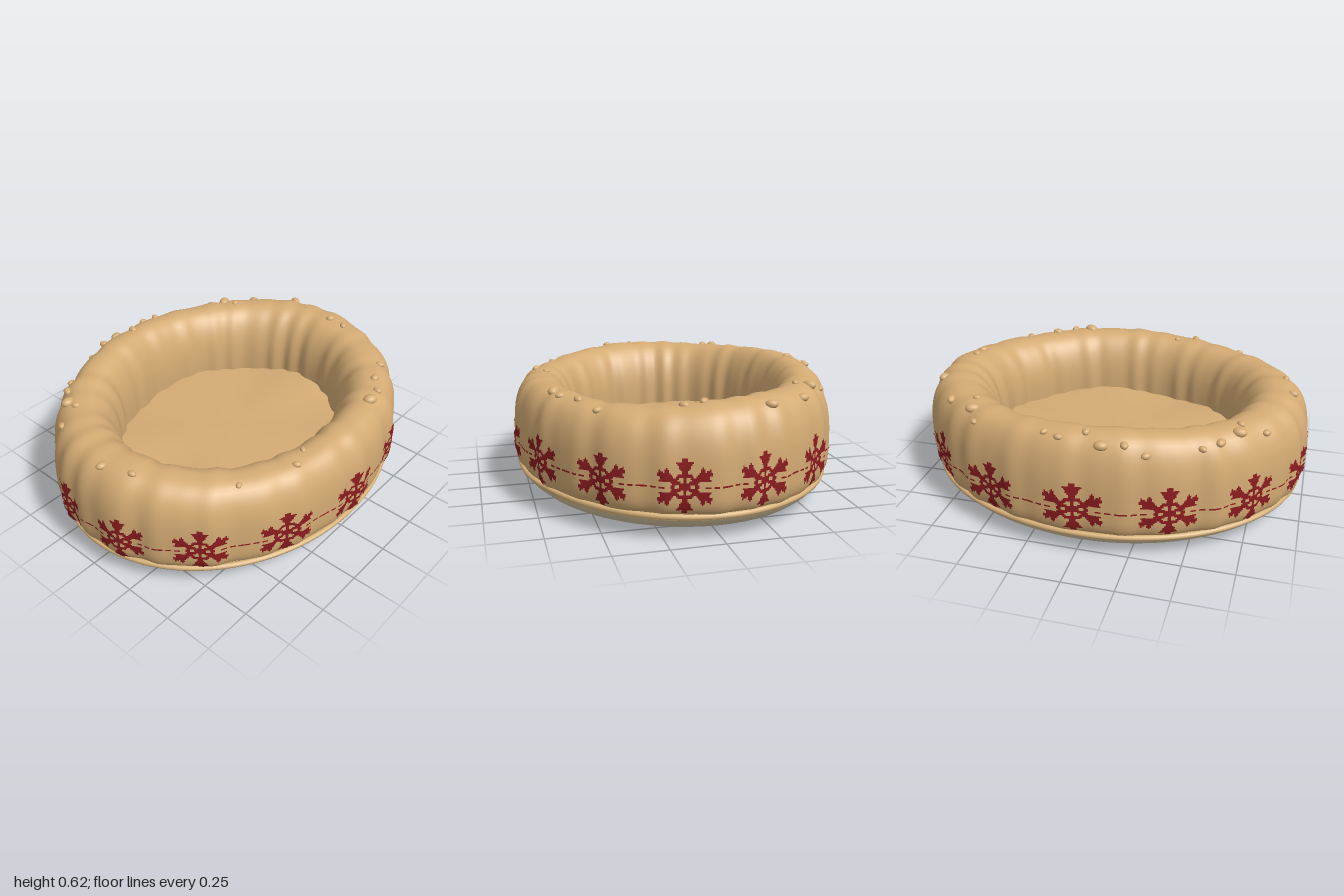
import * as THREE from 'three';
import { mergeVertices } from 'three/addons/utils/BufferGeometryUtils.js';

const MID_X = 0.815, MID_Z = 0.66; // centre line of the padded wall
const HALF = 0.217;                // wall half width, relative to the centre line
const WAIST = 0.29;                // height of the widest point
const STARS = 14;

const material = (name, color) => new THREE.MeshStandardMaterial({ name, color });

// soft gathers around the wall
const ripple = t => 0.5 * Math.sin(27 * t + 1.5 * Math.sin(3 * t)) + 0.3 * Math.sin(13 * t + 1)
  + 0.2 * Math.sin(41 * t + 2 * Math.sin(2 * t));

// point on the wall: t around, s across (-1 inside, 1 outside), y before the rim's waviness
function wallPoint(t, s, y) {
  const r = 1 + HALF * s * (1 + 0.07 * ripple(t));
  const lift = 1 - 0.08 * Math.cos(t) + 0.03 * Math.sin(4 * t + 1) + 0.015 * ripple(t);
  const h = y > WAIST ? WAIST + (y - WAIST) * lift : y;
  return new THREE.Vector3(MID_X * r * Math.sin(t), h, MID_Z * r * Math.cos(t));
}

// exponents and half heights of the rounded wall section
const power = (s, d) => (d < 0 ? 4 : s > 0 ? 2.5 : 2.2);
const reach = d => (d < 0 ? 0.19 : 0.29);

// smooth surface from a grid of points; keep(i, j) can leave cells out
function gridGeometry(nu, nv, point, keep = () => true) {
  const positions = [], index = [];
  for (let j = 0; j <= nv; j++)
    for (let i = 0; i <= nu; i++) positions.push(...point(i / nu, j / nv).toArray());
  for (let j = 0; j < nv; j++)
    for (let i = 0; i < nu; i++) {
      if (!keep(i, j)) continue;
      const a = j * (nu + 1) + i, b = a + 1, c = b + nu + 1, d = a + nu + 1;
      index.push(a, b, c, a, c, d);
    }
  let g = new THREE.BufferGeometry();
  g.setAttribute('position', new THREE.Float32BufferAttribute(positions, 3));
  g.setIndex(index);
  g = mergeVertices(g, 1e-5);
  g.computeVertexNormals();
  return g;
}

// six-armed snowflake with broad tips and a pierced hub, u and v from -1 to 1
function inSnowflake(u, v) {
  const sector = Math.PI / 3;
  const angle = Math.atan2(u, v), r = Math.hypot(u, v);
  const local = angle - Math.round(angle / sector) * sector;
  const a = r * Math.cos(local), b = Math.abs(r * Math.sin(local));
  const arm = a < 1 && b < 0.11;
  const tip = a > 0.56 && a < 0.84 && b < 0.12 + (a - 0.56) * 0.6;
  const hub = a > 0.28 && a < 0.42;
  const hole = a > 0.13 && a < 0.29 && b > 0.06;
  return (arm || tip || hub) && !hole;
}

export function createModel() {
  const model = new THREE.Group();
  const tan = material('tan plush', 0xd4ab74);
  const piping = material('light piping', 0xd8b27a);
  const grey = material('pale underside', 0xd8c8a4);
  const red = material('dark red', 0x8c1c20);
  const add = (name, geometry, mat) => {
    const mesh = new THREE.Mesh(geometry, mat);
    mesh.name = name;
    model.add(mesh);
    return mesh;
  };

  // padded wall
  add('paddedWall', gridGeometry(252, 48, (u, v) => {
    const a = v * Math.PI * 2, c = Math.cos(a), d = Math.sin(a);
    const e = 2 / power(c, d);
    return wallPoint(u * Math.PI * 2, Math.sign(c) * Math.abs(c) ** e,
      WAIST + reach(d) * Math.sign(d) * Math.abs(d) ** e);
  }), tan);

  // snowflake band and the dashes that link it
  const perStar = 60, rows = 36, low = 0.122, high = 0.402;
  const cols = perStar * STARS, pitch = Math.PI * 2 / STARS;
  add('snowflakeBand', gridGeometry(cols, rows, (u, v) => {
    const y = low + v * (high - low), d = (y - WAIST) / reach(y - WAIST);
    const n = power(1, d);
    const s = (1 - Math.abs(d) ** n) ** (1 / n);
    return wallPoint((u - 0.5 / STARS) * Math.PI * 2, s + 0.025, y);
  }, (i, j) => {
    const u = ((i % perStar + 0.5) / perStar - 0.5) * pitch;
    const y = low + (j + 0.5) / rows * (high - low) - 0.262;
    const dash = Math.abs(y + 0.004) < 0.0039 && Math.abs(u) > 0.09
      && Math.floor(Math.abs(u) / 0.015) % 3 !== 0;
    return dash || inSnowflake(u / 0.16, y / 0.127);
  }), red);

  // sleeping cushion with faint radial folds
  const cushion = new THREE.CircleGeometry(1, 96).rotateX(-Math.PI / 2);
  const p = cushion.attributes.position;
  for (let i = 0; i < p.count; i++) {
    const x = p.getX(i), z = p.getZ(i), t = Math.atan2(x, z);
    const edge = Math.hypot(x, z);
    p.setXYZ(i, x * 0.7, 0.255 + edge * (0.014 * Math.sin(5 * t) - 0.01), z * 0.58);
  }
  cushion.computeVertexNormals();
  add('cushion', cushion, tan);

  // rounded underside, with a narrow plush strip above it
  const lathe = points => new THREE.LatheGeometry(points.map(([x, y]) => new THREE.Vector2(x, y)), 96);
  add('underside', lathe([[0, 0], [0.7, 0], [0.76, 0.004], [0.83, 0.018], [0.89, 0.042],
    [0.93, 0.07], [0.946, 0.092]]), grey).scale.z = 0.815;
  add('lowerStrip', lathe([[0.946, 0.092], [0.955, 0.12], [0.8, 0.125]]), tan).scale.z = 0.815;

  // piping along the seam
  const loop = [];
  for (let i = 0; i < 64; i++) {
    const t = i / 64 * Math.PI * 2;
    loop.push(new THREE.Vector3(0.961 * Math.sin(t), 0.117 + 0.003 * Math.sin(3 * t), 0.782 * Math.cos(t)));
  }
  add('seamPiping', new THREE.TubeGeometry(new THREE.CatmullRomCurve3(loop, true), 192, 0.014, 8, true), piping);

  // small nubs scattered on the rim: x, z, size
  const nubs = [
    [-0.69, -0.46, 0.035], [-0.62, -0.55, 0.028], [-0.55, -0.61, 0.022], [-0.32, -0.72, 0.025],
    [-0.22, -0.72, 0.025], [-0.12, -0.74, 0.034], [-0.04, -0.69, 0.025], [0.08, -0.73, 0.022],
    [0.15, -0.71, 0.022], [0.53, -0.62, 0.02], [0.57, -0.55, 0.036], [0.73, -0.45, 0.03],
    [0.58, -0.47, 0.02], [0.86, -0.24, 0.03], [0.81, 0.05, 0.025], [0.81, 0.14, 0.025],
    [0.66, 0.49, 0.025], [0.51, 0.55, 0.028], [0.42, 0.62, 0.024], [0.33, 0.64, 0.038],
    [-0.2, 0.62, 0.018], [-0.3, 0.66, 0.022], [-0.57, 0.55, 0.018], [-0.85, 0.17, 0.022],
    [-0.9, 0.02, 0.027], [-0.81, -0.37, 0.024], [-0.69, -0.4, 0.022]];
  const nubShape = new THREE.SphereGeometry(1, 16, 10);
  nubs.forEach(([x, z, size], i) => {
    const s = (Math.hypot(x / MID_X, z / MID_Z) - 1) / HALF;
    const n = power(s, 1);
    const y = WAIST + reach(1) * (1 - Math.min(0.95, Math.abs(s)) ** n) ** (1 / n);
    const nub = add('rimNub', nubShape, tan);
    nub.position.copy(wallPoint(Math.atan2(x / MID_X, z / MID_Z), s, y));
    nub.scale.set(size, size * 0.65, size * 0.75);
    nub.rotation.y = i * 1.3;
  });
  return model;
}
